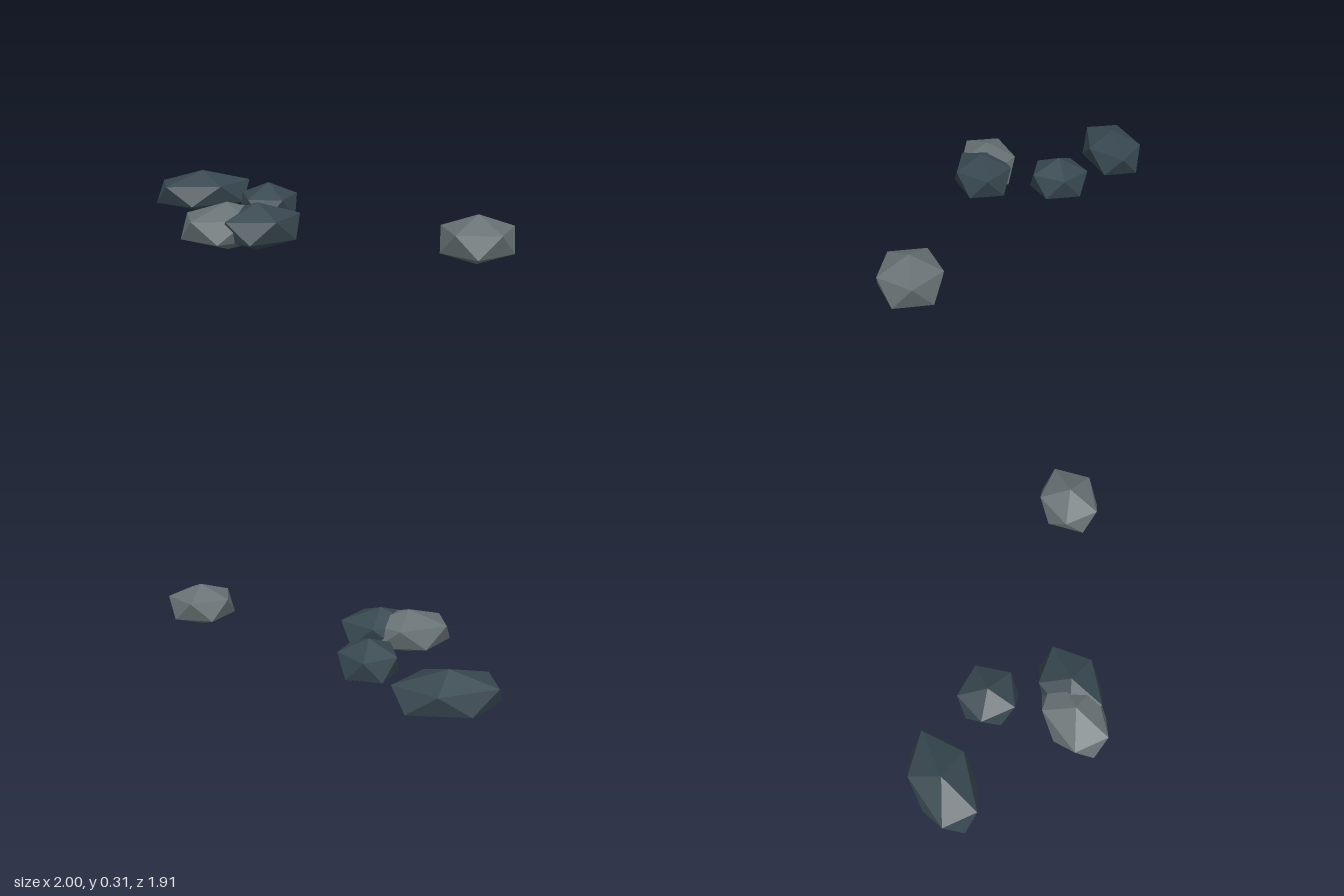
import * as THREE from 'three';

export function createModel() {
  const group = new THREE.Group();
  group.name = 'rocks';

  const darkStone = new THREE.MeshStandardMaterial({ color: 0x37474f });
  darkStone.name = 'dark slate';
  const lightStone = new THREE.MeshStandardMaterial({ color: 0x667072 });
  lightStone.name = 'light grey stone';

  const radius = 0.218;      // radius of the unstretched rock
  const halfHeight = 0.1525; // rocks are squashed to the same height
  const golden = (1 + Math.sqrt(5)) / 2;

  // Faceted rock standing on one corner, stretched along x
  function addRock(name, material, x, z, stretch) {
    const geometry = new THREE.IcosahedronGeometry(radius, 0);
    geometry.rotateX(-Math.atan(golden)); // bring a corner to the top
    geometry.rotateY(Math.PI / 2);        // upper ring has a corner at +x
    geometry.scale(stretch, halfHeight / radius, 1);
    const rock = new THREE.Mesh(geometry, material);
    rock.name = name;
    rock.position.set(x, halfHeight, z);
    group.add(rock);
  }

  addRock('longRock', darkStone, -0.668, -0.77, 1.705);
  addRock('smallRock', darkStone, -0.28, -0.298, 1);
  addRock('paleRock', lightStone, -0.615, 0.147, 1.495);
  addRock('overlappingRock', darkStone, -0.436, 0.203, 1.36);
  addRock('outlyingRock', lightStone, 0.768, 0.77, 1.19);

  return group;
}
